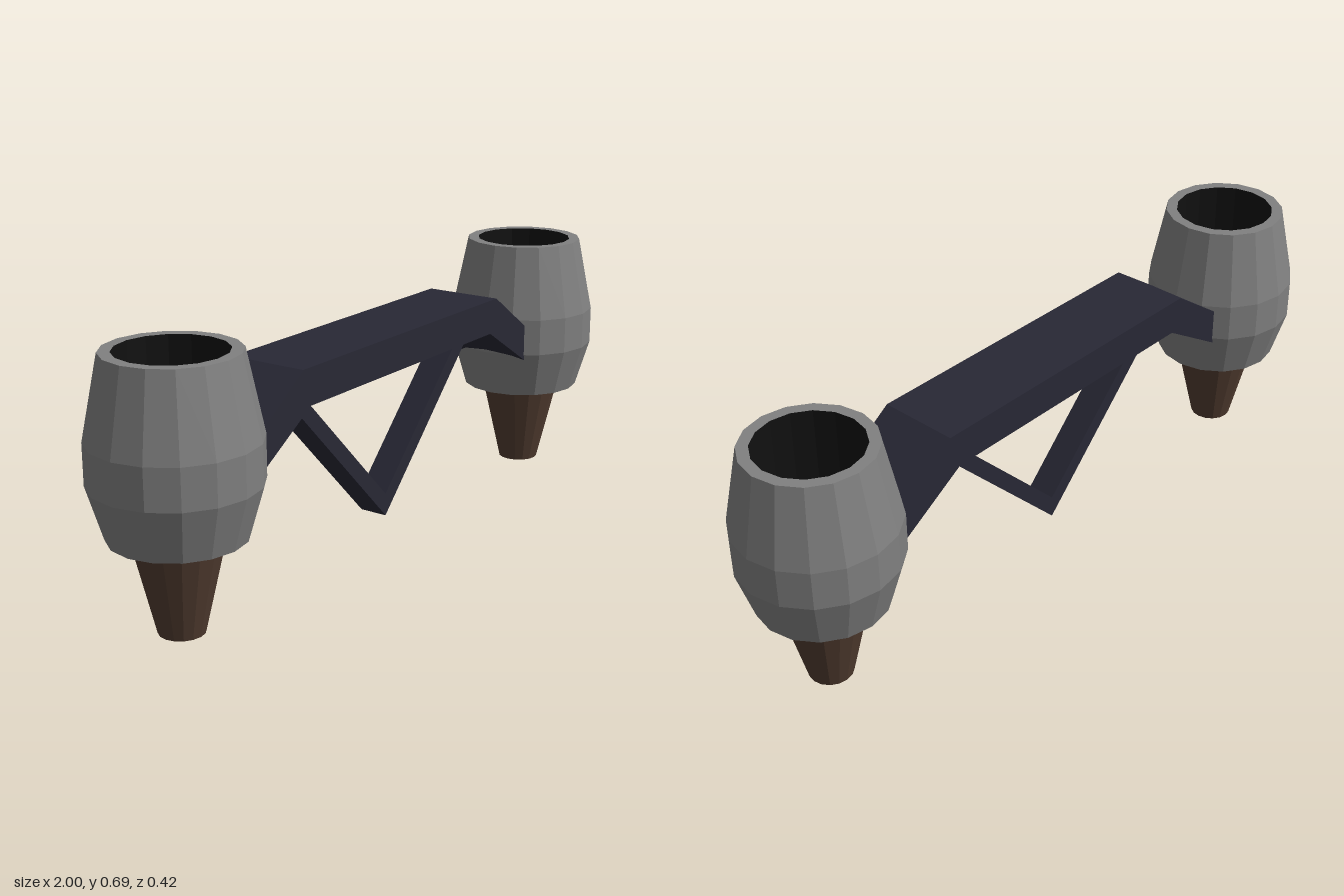
import * as THREE from 'three';

const SIDES = 16;

function paint(color, side = THREE.FrontSide) {
  return new THREE.MeshStandardMaterial({ color, flatShading: true, side });
}

function named(name, geometry, material) {
  const mesh = new THREE.Mesh(geometry, material);
  mesh.name = name;
  return mesh;
}

function lathe(points) {
  return new THREE.LatheGeometry(points.map(([r, y]) => new THREE.Vector2(r, y)), SIDES);
}

// Extrudes an outline in the xy plane, centred on z = 0
function slab(points, depth) {
  const shape = new THREE.Shape(points.map(([x, y]) => new THREE.Vector2(x, y)));
  const geometry = new THREE.ExtrudeGeometry(shape, { depth, bevelEnabled: false });
  return geometry.translate(0, 0, -depth / 2);
}

// Completes a right-hand outline with its mirror image
function mirrored(half) {
  return [...half, ...half.map(([x, y]) => [-x, y]).reverse()];
}

function createEngine(name) {
  const engine = new THREE.Group();
  engine.name = name;
  const grey = paint(0x808080);
  const black = paint(0x111111, THREE.DoubleSide);

  // Faceted barrel with a flat lip around the intake
  engine.add(named('housing', lathe([
    [0.17, 0.243], [0.21, 0.378], [0.21, 0.483], [0.167, 0.692], [0.137, 0.692],
  ]), grey));

  // Dark duct inside the barrel, closed halfway
  engine.add(named('ductLining', lathe([
    [0.137, 0.692], [0.137, 0.45], [0, 0.45], [0.165, 0.4], [0.17, 0.243],
  ]), black));

  // Tapered exhaust cone and its dark outlet
  engine.add(named('exhaustCone', lathe([
    [0.058, 0], [0.115, 0.243], [0.137, 0.34],
  ]), paint(0x513c30)));
  const outlet = named('exhaustOutlet', new THREE.CircleGeometry(0.058, SIDES), paint(0x111111));
  outlet.rotation.x = Math.PI / 2;
  engine.add(outlet);
  return engine;
}

export function createModel() {
  const model = new THREE.Group();
  model.name = 'twinEngineMount';
  const dark = paint(0x282835);

  // Engines at both ends
  for (const [name, side] of [['leftEngine', 1], ['rightEngine', -1]]) {
    const engine = createEngine(name);
    engine.position.x = side * 0.79;
    model.add(engine);
  }

  // Cross beam with drooping ends
  model.add(named('crossBeam', slab(mirrored([
    [0.42, 0.485], [0.62, 0.362], [0.62, 0.465], [0.45, 0.582],
  ]), 0.22), dark));

  // V-shaped brace under the beam
  model.add(named('brace', slab([
    [0, 0.052], [0.43, 0.49], [0.37, 0.49], [0, 0.115], [-0.37, 0.49], [-0.43, 0.49],
  ], 0.08), dark));

  return model;
}
